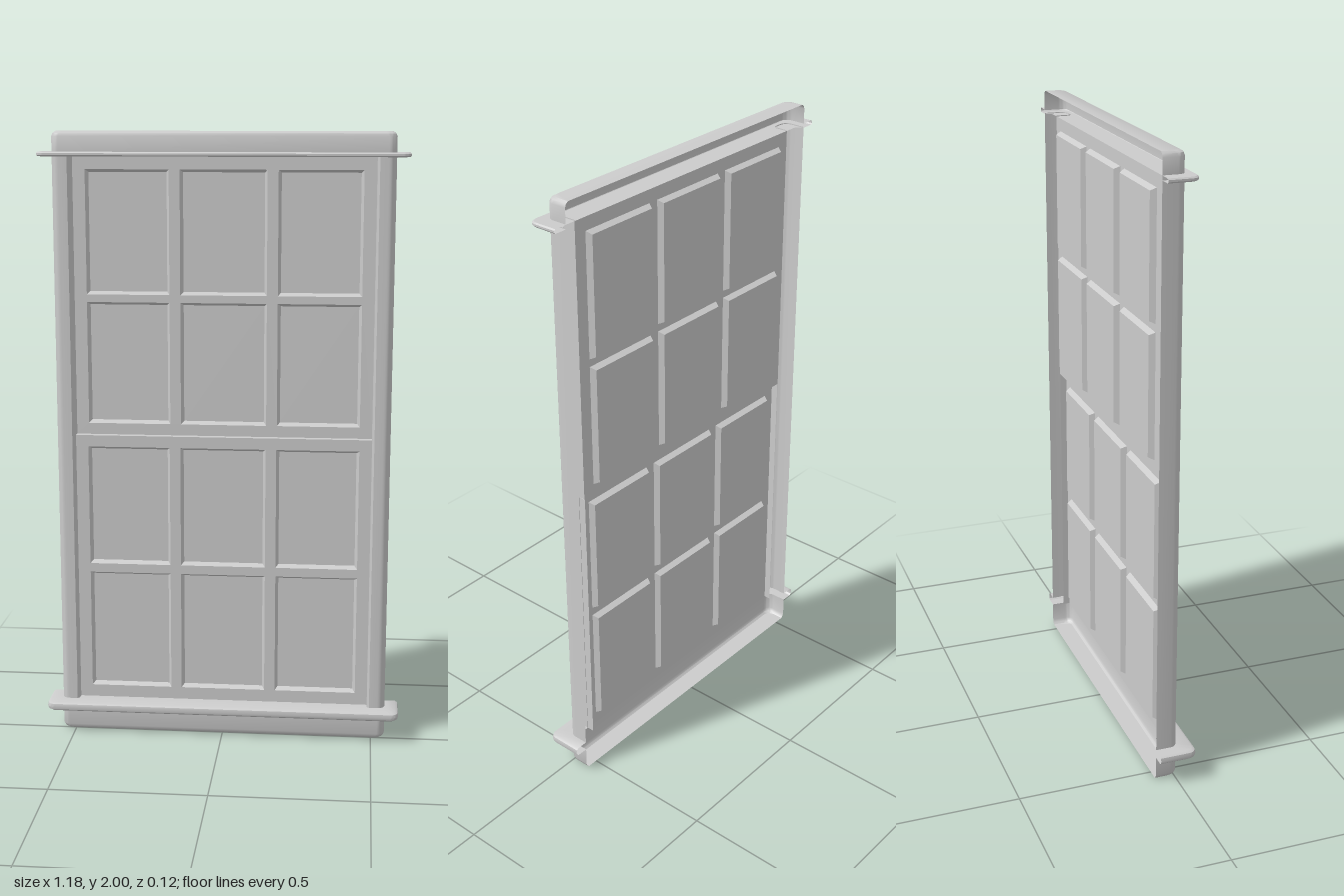
import * as THREE from 'three';
import { toCreasedNormals } from 'three/addons/utils/BufferGeometryUtils.js';

const BACK = -0.063, UPPER_Z = -0.04, LOWER_Z = -0.017;
const material = new THREE.MeshStandardMaterial({ color: 0xcccccc, side: THREE.DoubleSide });

// Skin a sheet through rows of points
function loft(name, rows) {
  const n = rows[0].length, index = [];
  for (let i = 0; i < rows.length - 1; i++) {
    for (let j = 0; j < n - 1; j++) {
      const a = i * n + j, b = a + 1, c = a + n, d = c + 1;
      index.push(a, c, b, b, c, d);
    }
  }
  const geo = new THREE.BufferGeometry();
  geo.setAttribute('position', new THREE.Float32BufferAttribute(rows.flat(2), 3));
  geo.setIndex(index);
  return named(name, toCreasedNormals(geo, 0.6));
}

function named(name, geo) {
  const mesh = new THREE.Mesh(geo, material);
  mesh.name = name;
  return mesh;
}

// U-shaped outline, open to the wall, with rounded front corners
function ring([w, front, y], r = 0.025) {
  r = Math.min(r, front - BACK);
  const half = [[w, y, BACK]];
  for (let k = 0; k <= 6; k++) {
    const t = (k / 6) * Math.PI / 2;
    half.push([w - r + r * Math.cos(t), y, front - r + r * Math.sin(t)]);
  }
  return [...half, ...half.map(([x, yy, z]) => [-x, yy, z]).reverse()];
}

// Hollow side post, rounded on its outer corner
function post(side) {
  const profile = [[0.545, BACK]];
  for (let k = 0; k <= 6; k++) {
    const t = (k / 6) * Math.PI / 2;
    profile.push([0.52 + 0.025 * Math.cos(t), -0.015 + 0.025 * Math.sin(t)]);
  }
  profile.push([0.493, 0.01], [0.486, 0.004], [0.485, UPPER_Z]);
  if (side < 0) profile.reverse();
  return loft(side > 0 ? 'leftPost' : 'rightPost',
    [0.108, 1.925].map(y => profile.map(([x, z]) => [side * x, y, z])));
}

// Clockwise rectangle, closed
const rect = (x0, y0, x1, y1, z) =>
  [[x0, y0, z], [x0, y1, z], [x1, y1, z], [x1, y0, z], [x0, y0, z]];

// Sash sheet with six recessed panes
function sash(name, bottom, top, z, paneRows) {
  const group = new THREE.Group();
  group.name = name;
  const outline = pts => pts.map(([x, y]) => new THREE.Vector2(x, y));
  const sheet = new THREE.Shape(outline(rect(-0.487, bottom, 0.487, top, z)));
  for (const [y0, y1] of paneRows) {
    for (const [x0, x1] of [[-0.445, -0.175], [-0.14, 0.14], [0.175, 0.445]]) {
      const outer = rect(x0, y0, x1, y1, z);
      const b = 0.009, depth = 0.018;
      const inner = rect(x0 + b, y0 + b, x1 - b, y1 - b, z - depth);
      sheet.holes.push(new THREE.Path(outline(outer)));
      group.add(loft('paneBevel', [outer, inner]));
      const pane = named('pane', new THREE.PlaneGeometry(x1 - x0 - 2 * b, y1 - y0 - 2 * b));
      pane.position.set((x0 + x1) / 2, (y0 + y1) / 2, z - depth);
      group.add(pane);
    }
  }
  const face = named('sashFace', new THREE.ShapeGeometry(sheet));
  face.position.z = z;
  group.add(face);
  return group;
}

export function createModel() {
  const model = new THREE.Group();

  // Bottom rail and projecting sill: half width, front depth, height
  model.add(loft('bottomRailAndSill', [
    [0.535, BACK, 0], [0.535, 0, 0], [0.541, 0.007, 0.006], [0.545, 0.01, 0.016],
    [0.545, 0.01, 0.08], [0.582, 0.052, 0.08], [0.588, 0.058, 0.085], [0.59, 0.06, 0.094],
    [0.588, 0.058, 0.104], [0.58, 0.05, 0.109], [0.545, LOWER_Z, 0.109],
  ].map(p => ring(p))));

  // Top rail with its thin drip moulding
  model.add(loft('topRailAndMoulding', [
    [0.545, UPPER_Z, 1.922], [0.586, 0.031, 1.922], [0.59, 0.035, 1.926],
    [0.59, 0.035, 1.932], [0.586, 0.031, 1.936], [0.545, 0.01, 1.936],
    [0.545, 0.01, 1.984], [0.541, 0.007, 1.994], [0.533, -0.002, 2], [0.533, BACK, 2],
  ].map(p => ring(p))));

  model.add(post(1), post(-1));

  // Lower sash stands forward of the upper one
  model.add(sash('upperSash', 1.018, 1.922, UPPER_Z, [[1.055, 1.455], [1.48, 1.88]]));
  model.add(sash('lowerSash', 0.109, 1.018, LOWER_Z, [[0.15, 0.55], [0.58, 0.98]]));

  // Ledge where the sashes meet
  model.add(loft('meetingLedge', [
    [[0.487, 1.018, LOWER_Z], [-0.487, 1.018, LOWER_Z]],
    [[0.487, 1.018, UPPER_Z], [-0.487, 1.018, UPPER_Z]],
  ]));
  return model;
}
